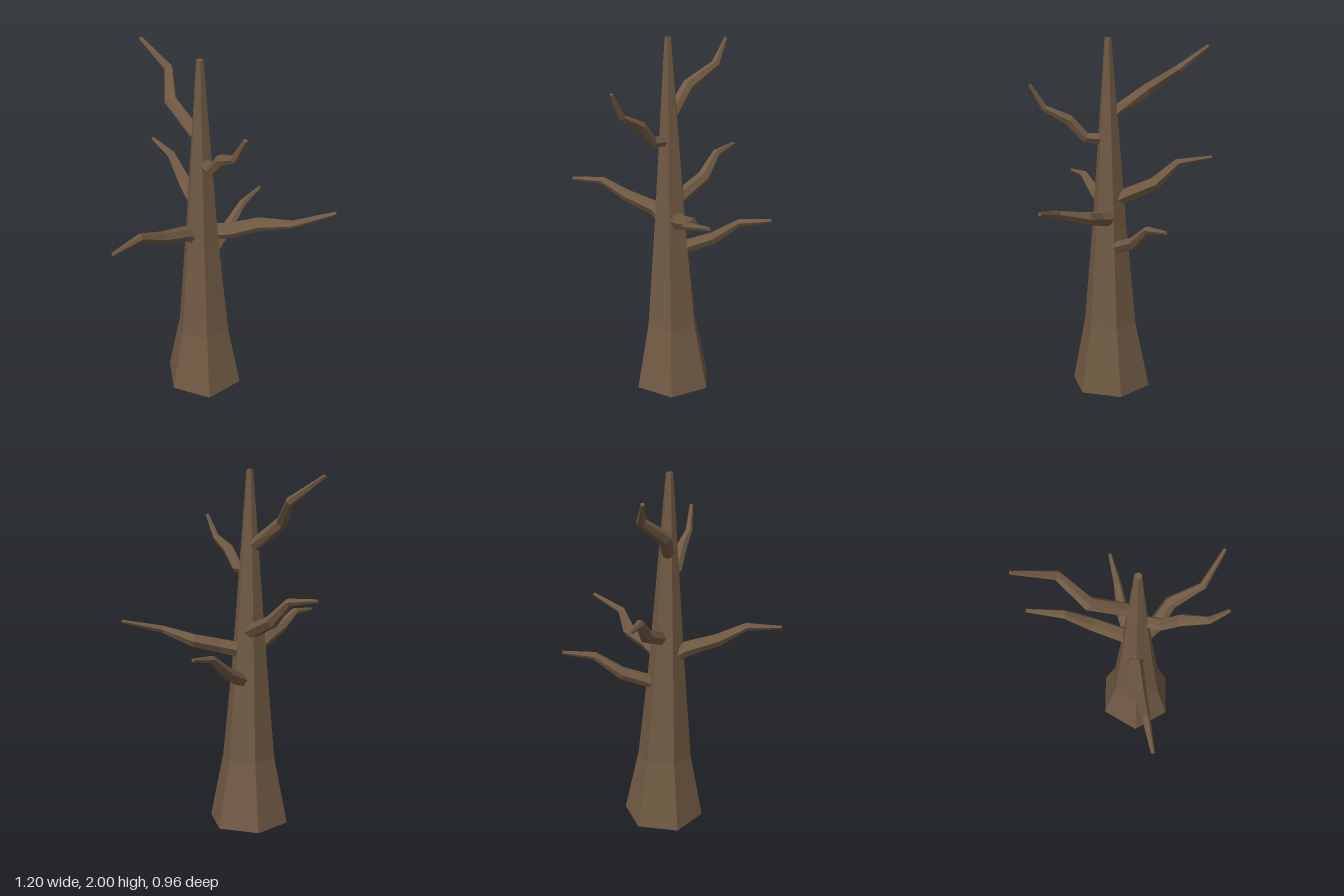
import * as THREE from 'three';

const SIDES = 6;

// Six-sided solid lofted through rings of points, closed at both ends, faceted
function loft(rings) {
  const pos = [];
  const tri = (a, b, c) => pos.push(...a.toArray(), ...b.toArray(), ...c.toArray());
  for (let i = 0; i < rings.length - 1; i++) {
    for (let j = 0; j < SIDES; j++) {
      const k = (j + 1) % SIDES;
      const [a, b, c, d] = [rings[i][j], rings[i][k], rings[i + 1][k], rings[i + 1][j]];
      tri(a, b, c);
      tri(a, c, d);
    }
  }
  const first = rings[0], last = rings[rings.length - 1];
  for (let j = 1; j < SIDES - 1; j++) {
    tri(first[0], first[j + 1], first[j]);
    tri(last[0], last[j], last[j + 1]);
  }
  const geo = new THREE.BufferGeometry();
  geo.setAttribute('position', new THREE.Float32BufferAttribute(pos, 3));
  geo.computeVertexNormals();
  return geo;
}

// Ring around a centre, spanned by u and v (u x v points along the limb)
function ring(centre, u, v, r) {
  return Array.from({ length: SIDES }, (_, j) => {
    const a = (j / SIDES) * Math.PI * 2;
    return centre.clone().addScaledVector(u, r * Math.cos(a)).addScaledVector(v, r * Math.sin(a));
  });
}

// Crooked limb: each point is [x, y, z, radius]
function limb(points) {
  const p = points.map(q => new THREE.Vector3(q[0], q[1], q[2]));
  const up = new THREE.Vector3(0, 1, 0);
  return loft(p.map((c, i) => {
    const before = p[Math.max(i - 1, 0)], after = p[Math.min(i + 1, p.length - 1)];
    const dir = new THREE.Vector3();
    if (after !== c) dir.add(after.clone().sub(c).normalize());
    if (before !== c) dir.add(c.clone().sub(before).normalize());
    dir.normalize();
    const u = new THREE.Vector3().crossVectors(up, dir).normalize();
    const v = new THREE.Vector3().crossVectors(dir, u);
    return ring(c, u, v, points[i][3]);
  }));
}

export function createModel() {
  const tree = new THREE.Group();
  tree.name = 'bareTree';
  const bark = new THREE.MeshStandardMaterial({ color: 0x705a43 });
  bark.name = 'bark';

  const add = (name, geo) => {
    const mesh = new THREE.Mesh(geo, bark);
    mesh.name = name;
    tree.add(mesh);
  };

  // Tapering trunk with a flared foot, corners facing front and back
  const u = new THREE.Vector3(0, 0, 1), v = new THREE.Vector3(1, 0, 0);
  const trunk = [
    [-0.1, 0, 0.057, 0.23], [-0.1, 0.38, 0.062, 0.153],
    [-0.105, 0.95, 0.066, 0.1], [-0.105, 2, 0.073, 0.019],
  ];
  add('trunk', loft(trunk.map(([x, y, z, r]) => ring(new THREE.Vector3(x, y, z), u, v, r))));

  // Branches, from the lowest to the highest
  const branches = {
    backLeftBranch: [
      [-0.05, 0.84, 0.01, 0.038], [0.06, 0.905, -0.12, 0.035],
      [0.17, 1.01, -0.22, 0.022], [0.295, 1.035, -0.345, 0.01]],
    leftBranch: [
      [-0.06, 1.005, 0.05, 0.045], [0.05, 1.025, 0.088, 0.042], [0.205, 1.06, 0.103, 0.038],
      [0.362, 1.112, 0.215, 0.022], [0.595, 1.165, 0.223, 0.01]],
    frontRightBranch: [
      [-0.13, 0.99, 0.075, 0.045], [-0.2, 1.045, 0.115, 0.042], [-0.335, 1.1, 0.225, 0.034],
      [-0.45, 1.175, 0.325, 0.022], [-0.593, 1.17, 0.45, 0.01]],
    backRightBranch: [
      [-0.1, 1.11, 0.02, 0.042], [-0.165, 1.195, -0.18, 0.038],
      [-0.225, 1.31, -0.3, 0.024], [-0.315, 1.335, -0.475, 0.01]],
    upperFrontBranch: [
      [-0.095, 1.45, 0.09, 0.03], [-0.065, 1.455, 0.19, 0.032], [-0.03, 1.555, 0.275, 0.032],
      [0.015, 1.62, 0.4, 0.02], [0.053, 1.75, 0.47, 0.01]],
    upperBackBranch: [
      [-0.125, 1.59, 0.04, 0.036], [-0.235, 1.715, -0.12, 0.036],
      [-0.225, 1.825, -0.29, 0.025], [-0.36, 1.95, -0.435, 0.01]],
  };
  for (const [name, points] of Object.entries(branches)) add(name, limb(points));

  return tree;
}
